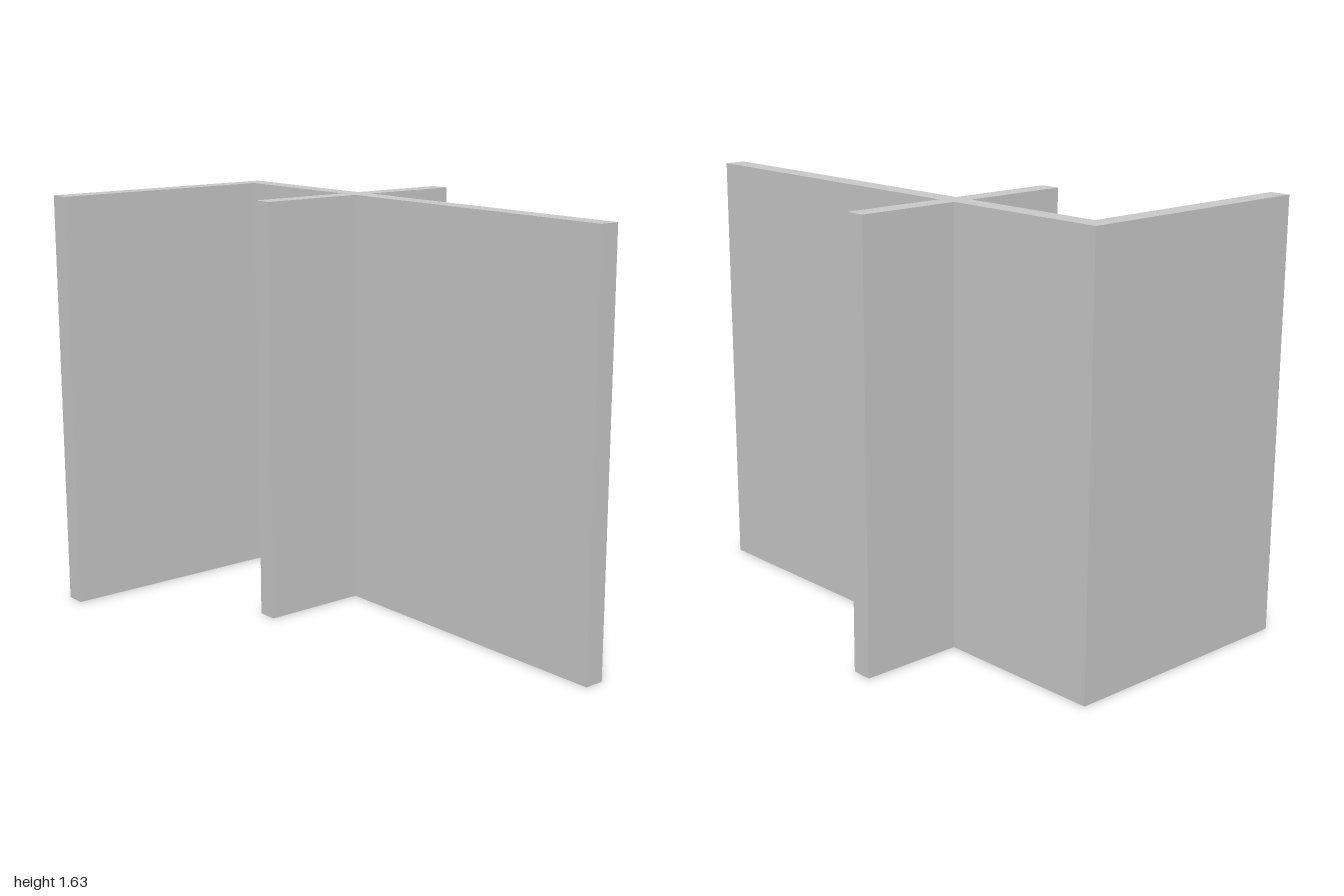
import * as THREE from 'three';

const HEIGHT = 1.63;

// Plan outline of the joined walls as [x, z] corners
const PLAN = [
  [0.21, 1], [0.29, 1],
  [0.29, -0.267], [0.69, -0.267], [0.69, -0.345], [0.29, -0.345], // right half of cross wall
  [0.29, -1], [-0.69, -1], [-0.69, -0.92], [0.21, -0.92],         // back wall
  [0.21, -0.345], [-0.21, -0.345], [-0.21, -0.267], [0.21, -0.267], // left half of cross wall
];

export function createModel() {
  const group = new THREE.Group();
  group.name = 'wallProfile';

  // Draw the plan with z flipped, extrude it, then stand it upright
  const shape = new THREE.Shape(PLAN.map(([x, z]) => new THREE.Vector2(x, -z)));
  const geometry = new THREE.ExtrudeGeometry(shape, { depth: HEIGHT, bevelEnabled: false });
  geometry.rotateX(-Math.PI / 2);

  const walls = new THREE.Mesh(geometry, new THREE.MeshStandardMaterial({ color: 0xcccccc }));
  walls.name = 'joinedWalls';
  group.add(walls);
  return group;
}
